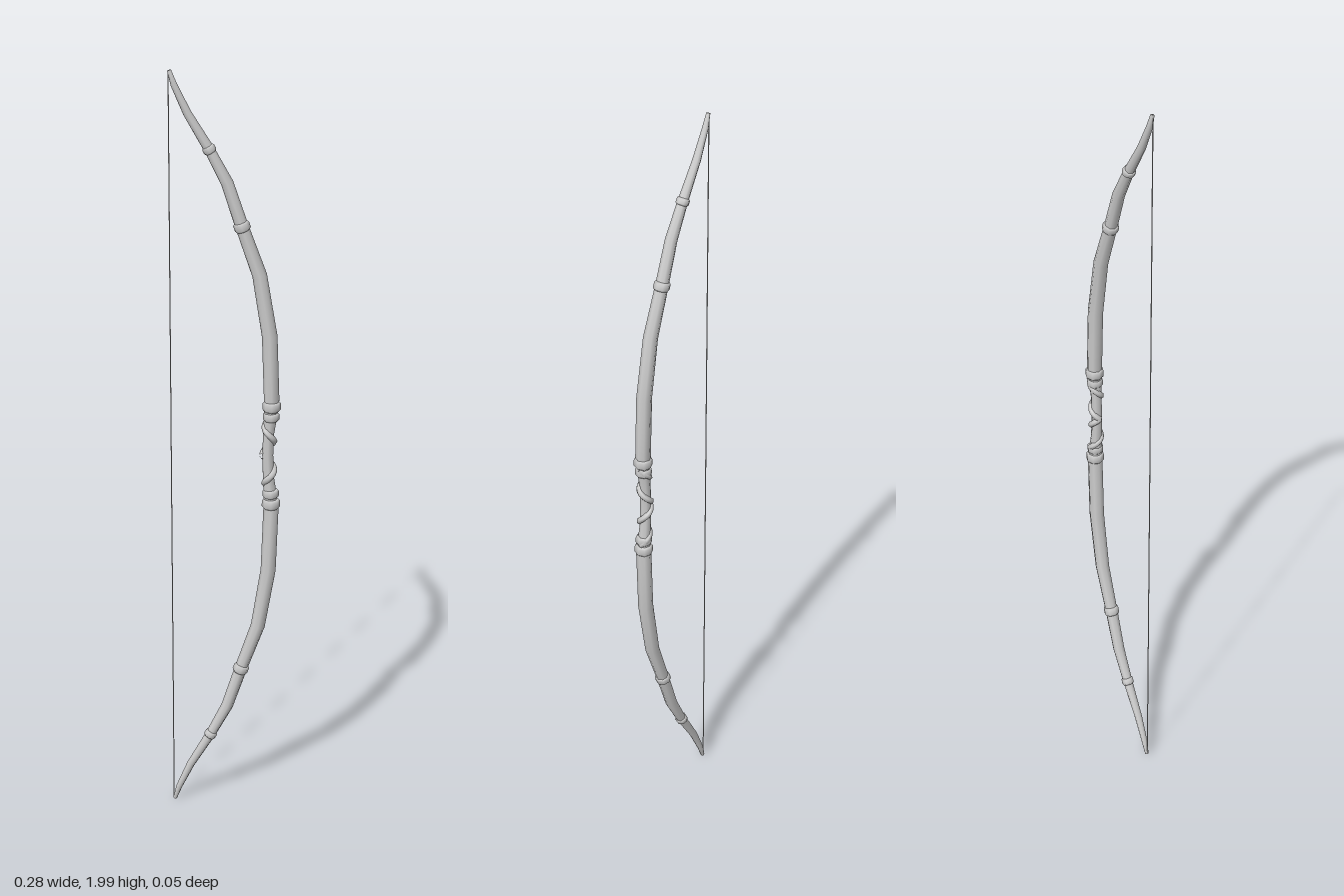
import * as THREE from 'three';

const material = new THREE.MeshStandardMaterial({ color: 0xcccccc });
const SIDES = 8;

// Sweeps an eight-sided section along stations [x, y, radius] lying in the xy plane.
function sweep(stations) {
  const pos = [], index = [];
  const pts = stations.map(([x, y]) => new THREE.Vector2(x, y));
  stations.forEach(([x, y, r], i) => {
    const t = pts[Math.min(i + 1, pts.length - 1)].clone().sub(pts[Math.max(i - 1, 0)]).normalize();
    for (let j = 0; j < SIDES; j++) {
      const a = (j / SIDES) * Math.PI * 2;
      const u = Math.cos(a) * r;
      pos.push(x + t.y * u, y - t.x * u, Math.sin(a) * r);
    }
  });
  for (let i = 0; i < stations.length - 1; i++) {
    for (let j = 0; j < SIDES; j++) {
      const a = i * SIDES + j, b = i * SIDES + (j + 1) % SIDES;
      index.push(a, a + SIDES, b, b, a + SIDES, b + SIDES);
    }
  }
  // end caps
  const last = (stations.length - 1) * SIDES;
  for (let j = 1; j < SIDES - 1; j++) {
    index.push(0, j, j + 1, last, last + j + 1, last + j);
  }
  const g = new THREE.BufferGeometry();
  g.setAttribute('position', new THREE.Float32BufferAttribute(pos, 3));
  g.setIndex(index);
  g.computeVertexNormals();
  return g;
}

// Upper half of the stave, from the grip to the tip
const upper = [
  [0.107, 1.0, 0.014], [0.109, 1.06, 0.014], [0.114, 1.11, 0.017], [0.116, 1.15, 0.0195],
  [0.11, 1.32, 0.0195], [0.084, 1.48, 0.0185], [0.04, 1.605, 0.0165], [0.004, 1.715, 0.0155],
  [-0.04, 1.8, 0.013], [-0.093, 1.89, 0.0105], [-0.125, 1.96, 0.008], [-0.136, 1.995, 0.005],
];
const flip = (stations) => stations.map(([x, y, r]) => [x, 2 - y, r]).reverse();

// Winding cord around the grip, one half
class GripHelix extends THREE.Curve {
  constructor(sign) { super(); this.sign = sign; }
  getPoint(t, target = new THREE.Vector3()) {
    const a = t * Math.PI * 3 + Math.PI;
    const h = t * 0.115;
    return target.set(0.107 + 0.008 * t + Math.cos(a) * 0.013, 1 + this.sign * h, Math.sin(a) * 0.013);
  }
}

export function createModel() {
  const group = new THREE.Group();
  const add = (name, geometry) => {
    const mesh = new THREE.Mesh(geometry, material);
    mesh.name = name;
    group.add(mesh);
  };

  add('stave', sweep([...flip(upper).slice(0, -1), ...upper]));

  // Raised bands: [name, x, y, radius, half height, lean of the stave in dx/dy]
  const bands = [
    ['gripCollarInner', 0.115, 1.105, 0.021, 0.011, 0.03],
    ['gripCollarOuter', 0.116, 1.133, 0.0235, 0.013, 0],
    ['limbBandMiddle', 0.04, 1.605, 0.0205, 0.011, -0.34],
    ['limbBandOuter', -0.04, 1.8, 0.0165, 0.008, -0.55],
  ];
  for (const [name, x, y, r, h, lean] of bands) {
    const profile = [[-1, 0.82], [-0.6, 1], [0.6, 1], [1, 0.82]]
      .map(([k, s]) => [x + k * h * lean, y + k * h, r * s]);
    add(name + 'Upper', sweep(profile));
    add(name + 'Lower', sweep(flip(profile)));
  }

  // Grip wrapping
  for (const sign of [1, -1]) {
    add(sign > 0 ? 'gripWrapUpper' : 'gripWrapLower',
      new THREE.TubeGeometry(new GripHelix(sign), 32, 0.0085, 6));
  }

  // Bowstring
  const string = new THREE.CylinderGeometry(0.0015, 0.0015, 1.98, 6);
  string.translate(-0.1385, 1, 0);
  add('bowstring', string);

  return group;
}
